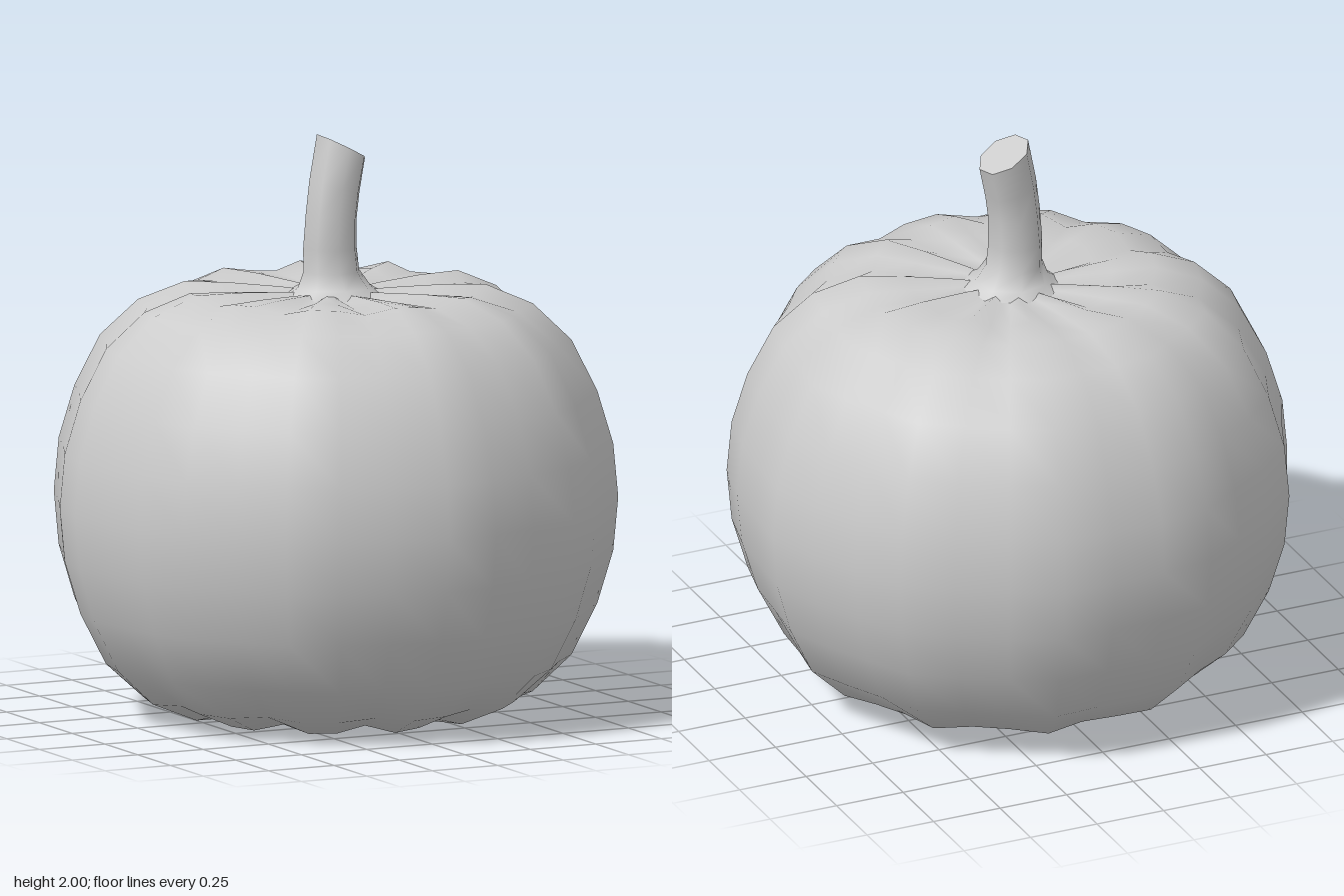
import * as THREE from 'three';
import { mergeVertices } from 'three/addons/utils/BufferGeometryUtils.js';

const RIBS = 11;
const material = () => new THREE.MeshStandardMaterial({ color: 0xcccccc });

// Share vertices across seams so the shading is smooth all round
function smooth(geometry) {
  geometry.deleteAttribute('uv');
  geometry.deleteAttribute('normal');
  const merged = mergeVertices(geometry, 1e-4);
  merged.computeVertexNormals();
  return merged;
}

// Ribbed, flattened sphere with shallow dimples at both poles
function bodyGeometry() {
  // From pole to equator: radius, height from the middle, rib swing, groove drop
  const profile = [
    [0, 0.71, 0, 0],
    [0.18, 0.73, 0.006, 0.025],
    [0.35, 0.74, 0.012, 0.035],
    [0.5, 0.74, 0.02, 0.03],
    [0.66, 0.672, 0.022, 0.012],
    [0.795, 0.545, 0.019, 0],
    [0.885, 0.368, 0.017, 0],
    [0.94, 0.185, 0.0165, 0],
    [0.957, 0, 0.0165, 0],
  ];
  const geometry = new THREE.SphereGeometry(1, 32, 16);
  const p = geometry.attributes.position;
  for (let i = 0; i < p.count; i++) {
    const row = Math.floor(i / 33);
    const phi = ((i % 33) / 32) * Math.PI * 2;
    const [radius, height, swing, drop] = profile[Math.min(row, 16 - row)];
    const wave = -Math.cos(RIBS * (phi - Math.PI / 4)); // -1 in a groove, 1 on a rib
    const r = radius + swing * wave;
    const y = height - (drop * (1 - wave)) / 2;
    const a = phi - 0.044;
    p.setXYZ(i, 0.003 - r * Math.cos(a), 0.74 + (row <= 8 ? y : -y), r * Math.sin(a) - 0.006);
  }
  return smooth(geometry);
}

// Bent stem: rings of x, y, z, radius, tilt towards +x
const SIDES = 8;
const stemRings = [
  [0, 1.44, 0, 0.19, 0],
  [0, 1.475, 0, 0.13, 0],
  [-0.01, 1.53, 0, 0.1, 0],
  [-0.015, 1.61, 0, 0.096, 0.02],
  [-0.01, 1.72, 0, 0.092, 0.12],
  [0.005, 1.82, -0.006, 0.093, 0.27],
  [0.036, 1.955, -0.018, 0.097, 0.49],
];

function ringPoint([x, y, z, r, tilt], k) {
  const a = (k / SIDES) * Math.PI * 2 + 0.15;
  const u = r * Math.cos(a);
  return [x + u * Math.cos(tilt), y - u * Math.sin(tilt), z + r * Math.sin(a)];
}

function stemGeometry() {
  const positions = [], index = [];
  stemRings.forEach((ring, i) => {
    for (let k = 0; k < SIDES; k++) {
      positions.push(...ringPoint(ring, k));
      if (i === 0) continue;
      const n = (k + 1) % SIDES, lo = (i - 1) * SIDES, hi = i * SIDES;
      index.push(lo + k, hi + k, lo + n, lo + n, hi + k, hi + n);
    }
  });
  const geometry = new THREE.BufferGeometry();
  geometry.setAttribute('position', new THREE.Float32BufferAttribute(positions, 3));
  geometry.setIndex(index);
  geometry.computeVertexNormals();
  return geometry;
}

// Flat slanted cut at the tip of the stem
function stemCutGeometry() {
  const [x, y, z, r, tilt] = stemRings[stemRings.length - 1];
  return new THREE.CircleGeometry(r, SIDES, -0.15)
    .rotateX(-Math.PI / 2)
    .rotateZ(-tilt)
    .translate(x, y, z);
}

export function createModel() {
  const model = new THREE.Group();
  model.name = 'pumpkin';
  const add = (name, geometry) => {
    const mesh = new THREE.Mesh(geometry, material());
    mesh.name = name;
    model.add(mesh);
  };
  add('body', bodyGeometry());
  add('stem', stemGeometry());
  add('stemCut', stemCutGeometry());
  return model;
}
